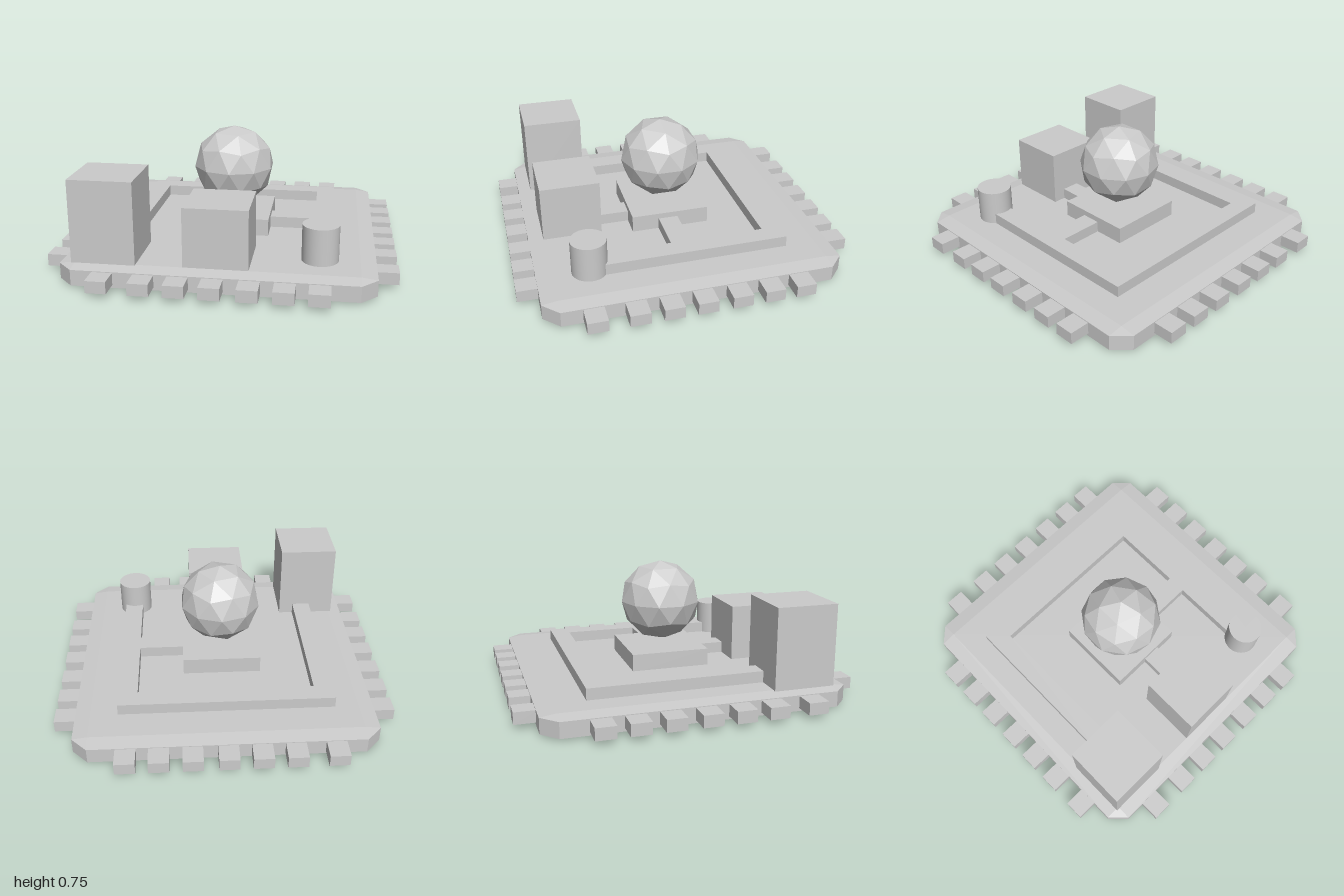
import * as THREE from 'three';
import { ConvexGeometry } from 'three/addons/geometries/ConvexGeometry.js';

const TOP = 0.115; // upper surface of the board

export function createModel() {
  const group = new THREE.Group();
  const flat = new THREE.MeshStandardMaterial({ color: 0xcccccc, flatShading: true });
  const smooth = new THREE.MeshStandardMaterial({ color: 0xcccccc });

  const add = (name, geometry, material = flat) => {
    const mesh = new THREE.Mesh(geometry, material);
    mesh.name = name;
    group.add(mesh);
    return mesh;
  };
  // Box given by its limits on each axis
  const box = (name, x0, x1, y0, y1, z0, z1) =>
    add(name, new THREE.BoxGeometry(x1 - x0, y1 - y0, z1 - z0))
      .position.set((x0 + x1) / 2, (y0 + y1) / 2, (z0 + z1) / 2);

  // Board: thin slab with every edge chamfered, wide across and shallow in height
  const R = 0.88, r = 0.79, mid = 0.0585, H = 0.0585, h = 0.046;
  const corners = [];
  for (const sx of [-1, 1]) for (const sy of [-1, 1]) for (const sz of [-1, 1]) {
    corners.push(
      new THREE.Vector3(sx * R, mid + sy * h, sz * r),
      new THREE.Vector3(sx * r, mid + sy * H, sz * r),
      new THREE.Vector3(sx * r, mid + sy * h, sz * R));
  }
  add('board', new ConvexGeometry(corners));

  // Contact pins along the four sides
  const w = 0.058;
  for (const p of [-0.61, -0.38, -0.19, 0, 0.2, 0.39, 0.575]) {
    for (const s of [-1, 1]) {
      const a = s < 0 ? -1 : 0.86, b = s < 0 ? -0.86 : 1;
      box('pin', p - w, p + w, 0.03, 0.1, a, b);
      box('pin', a, b, 0.03, 0.1, -p - w, -p + w);
    }
  }

  // Raised traces, drawn in plan as (x, z)
  const trace = (name, points) => {
    const shape = new THREE.Shape(points.map(([x, z]) => new THREE.Vector2(x, z)));
    const geometry = new THREE.ExtrudeGeometry(shape, { depth: 0.08, bevelEnabled: false });
    geometry.rotateX(Math.PI / 2).translate(0, 0.185, 0);
    add(name, geometry);
  };
  trace('loopTrace', [
    [-0.65, 0.5], [-0.65, -0.605], [0.63, -0.605], [0.63, 0.55], [0.515, 0.55], [0.515, 0.08],
    [0.2, 0.08], [0.2, -0.04], [0.515, -0.04], [0.515, -0.49], [-0.535, -0.49], [-0.535, 0.5],
  ]);
  trace('frontTrace', [[-0.01, 0.2], [0.105, 0.2], [0.105, 0.5], [-0.01, 0.5]]);

  // Components standing on the board
  box('centralChip', -0.24, 0.24, TOP - 0.01, 0.22, -0.235, 0.245);
  box('tallBlock', -0.81, -0.445, TOP - 0.01, 0.595, 0.435, 0.8);
  box('frontBlock', -0.18, 0.185, TOP - 0.01, 0.46, 0.43, 0.79);
  add('capacitor', new THREE.CylinderGeometry(0.105, 0.105, 0.225, 32), smooth)
    .position.set(0.565, 0.2175, 0.575);

  // Faceted ball hovering over the chip, turned so a vertex points straight up
  const ball = new THREE.IcosahedronGeometry(0.249, 1);
  ball.rotateZ(-Math.atan(2 / (1 + Math.sqrt(5))));
  add('ball', ball).position.set(0, 0.498, 0.008);

  return group;
}
